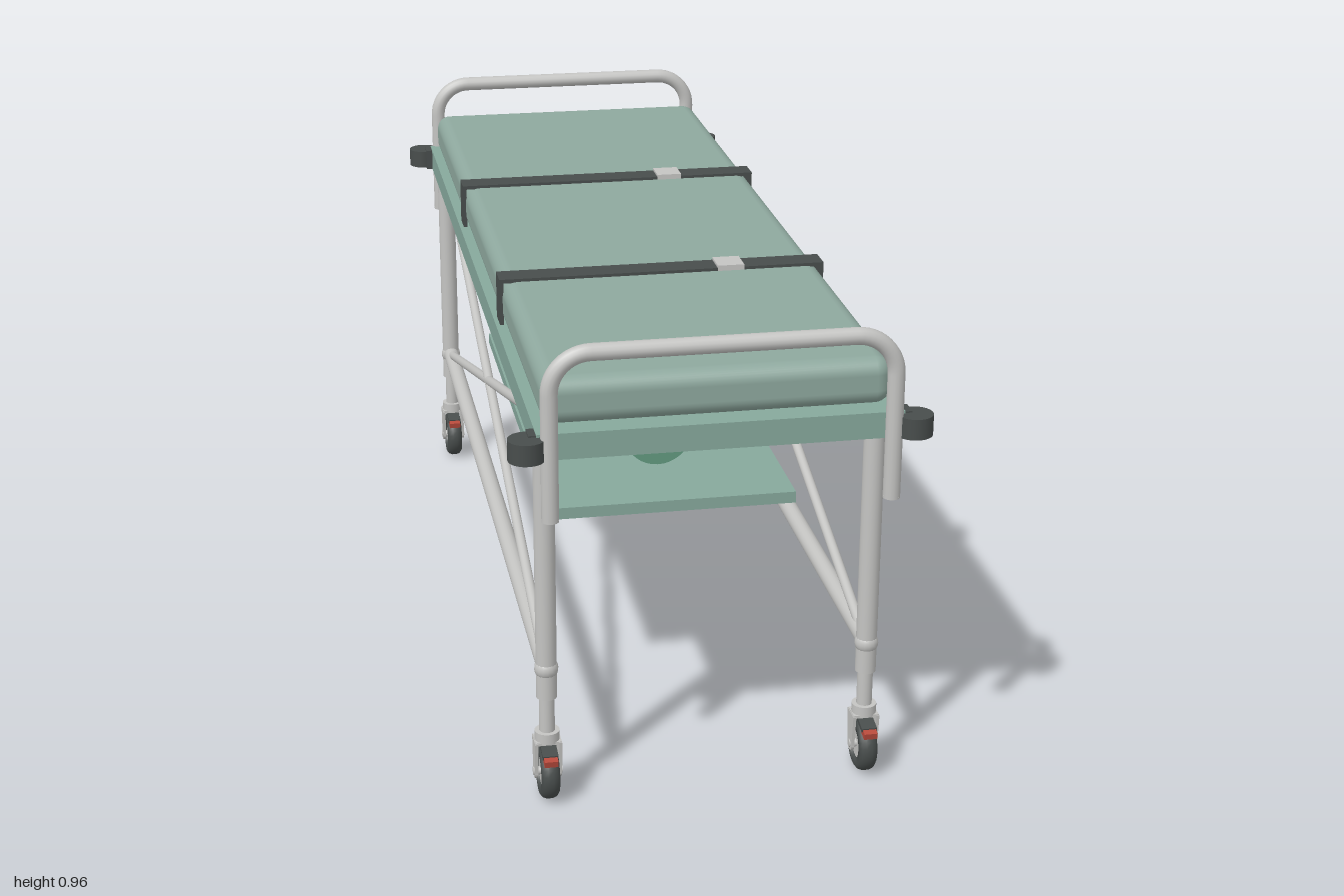
import * as THREE from 'three';
import { RoundedBoxGeometry } from 'three/addons/geometries/RoundedBoxGeometry.js';

const mat = (name, color) => {
  const m = new THREE.MeshStandardMaterial({ color });
  m.name = name;
  return m;
};
const V = (x, y, z) => new THREE.Vector3(x, y, z);

export function createModel() {
  const padding = mat('padded vinyl', 0x8ea89e);
  const panel = mat('painted panel', 0x86a89c);
  const metal = mat('brushed metal', 0xc4c4c2);
  const rubber = mat('dark rubber', 0x484d4c);
  const bottleGreen = mat('bottle green', 0x62997f);
  const red = mat('brake red', 0xb84a3c);

  const root = new THREE.Group();
  root.name = 'stretcherTrolley';

  const add = (name, geometry, material, x = 0, y = 0, z = 0, parent = root) => {
    const mesh = new THREE.Mesh(geometry, material);
    mesh.name = name;
    mesh.position.set(x, y, z);
    parent.add(mesh);
    return mesh;
  };
  const box = (name, w, h, d, material, x, y, z, parent) =>
    add(name, new THREE.BoxGeometry(w, h, d), material, x, y, z, parent);
  const cyl = (name, r, h, material, x, y, z, parent) =>
    add(name, new THREE.CylinderGeometry(r, r, h, 20), material, x, y, z, parent);
  // Straight round bar between two points
  const bar = (name, a, b, r, material) => {
    const mesh = cyl(name, r, a.distanceTo(b), material);
    mesh.position.copy(a).add(b).multiplyScalar(0.5);
    mesh.quaternion.setFromUnitVectors(V(0, 1, 0), b.clone().sub(a).normalize());
    return mesh;
  };

  // Deck, mattress and lower shelf
  box('deck', 0.672, 0.05, 1.93, panel, 0, 0.763, 0);
  add('mattress', new RoundedBoxGeometry(0.644, 0.09, 1.87, 4, 0.03), padding, 0, 0.832, 0);
  box('shelf', 0.5, 0.024, 1.04, panel, 0, 0.432, 0);

  // Straps wrapped over the mattress, each with a buckle
  for (const z of [0.358, -0.302]) {
    const strap = new THREE.Group();
    strap.name = 'strap';
    strap.position.z = z;
    root.add(strap);
    box('strapTop', 0.656, 0.008, 0.054, rubber, 0, 0.879, 0, strap);
    for (const s of [-1, 1]) box('strapSide', 0.008, 0.094, 0.054, rubber, s * 0.324, 0.836, 0, strap);
    box('buckle', 0.054, 0.012, 0.056, metal, 0.138, 0.882, 0, strap);
  }

  // Bent tube rail at each end
  const rx = 0.314, top = 0.941, bend = 0.075;
  for (const s of [-1, 1]) {
    const z = s * 0.973;
    const path = new THREE.CurvePath();
    path.add(new THREE.LineCurve3(V(-rx, 0.626, z), V(-rx, top - bend, z)));
    path.add(new THREE.CubicBezierCurve3(V(-rx, top - bend, z), V(-rx, top - bend * 0.45, z),
      V(-rx + bend * 0.45, top, z), V(-rx + bend, top, z)));
    path.add(new THREE.LineCurve3(V(-rx + bend, top, z), V(rx - bend, top, z)));
    path.add(new THREE.CubicBezierCurve3(V(rx - bend, top, z), V(rx - bend * 0.45, top, z),
      V(rx, top - bend * 0.45, z), V(rx, top - bend, z)));
    path.add(new THREE.LineCurve3(V(rx, top - bend, z), V(rx, 0.626, z)));
    add('endRail', new THREE.TubeGeometry(path, 120, 0.016, 14, false), metal);
    for (const x of [-rx, rx]) cyl('railCap', 0.016, 0.004, metal, x, 0.626, z);
  }

  // Corner bumpers, legs and casters
  const tyreProfile = [[0.03, -0.016], [0.045, -0.018], [0.052, -0.013], [0.055, -0.005],
    [0.055, 0.005], [0.052, 0.013], [0.045, 0.018], [0.03, 0.016], [0.03, -0.016]]
    .map(([r, y]) => new THREE.Vector2(r, y));
  const tyre = new THREE.LatheGeometry(tyreProfile, 28);
  const fork = new THREE.Shape();
  fork.moveTo(-0.013, 0.05);
  fork.absarc(0, 0.055, 0.014, Math.PI, Math.PI * 2, false);
  fork.lineTo(0.022, 0.122);
  fork.lineTo(-0.022, 0.122);
  const forkPlate = new THREE.ExtrudeGeometry(fork, { depth: 0.006, bevelEnabled: false });

  for (const sx of [-1, 1]) for (const sz of [-1, 1]) {
    cyl('bumper', 0.034, 0.04, rubber, sx * 0.354, 0.763, sz * 0.966);
    box('bumperBracket', 0.03, 0.046, 0.035, rubber, sx * 0.335, 0.763, sz * 0.945);

    const x = sx * 0.31, z = sz * 0.862;
    cyl('leg', 0.02, 0.53, metal, x, 0.478, z);
    cyl('lowerLeg', 0.015, 0.09, metal, x, 0.175, z);
    add('railJoint', new THREE.SphereGeometry(0.023, 16, 12), metal, x, 0.273, z);

    const caster = new THREE.Group();
    caster.name = 'caster';
    caster.position.set(x, 0, z);
    root.add(caster);
    cyl('casterCollar', 0.024, 0.022, metal, 0, 0.131, 0, caster);
    for (const s of [-1, 1]) {
      const plate = add('forkPlate', forkPlate, metal, s * 0.023 - 0.003, 0, 0, caster);
      plate.rotation.y = Math.PI / 2;
    }
    box('forkCrown', 0.05, 0.006, 0.04, metal, 0, 0.121, 0, caster);
    add('tyre', tyre, rubber, 0, 0.055, 0, caster).rotation.z = Math.PI / 2;
    cyl('hub', 0.031, 0.026, metal, 0, 0.055, 0, caster).rotation.z = Math.PI / 2;
    cyl('axle', 0.008, 0.056, metal, 0, 0.055, 0, caster).rotation.z = Math.PI / 2;
    // Brake pedal always faces the front
    box('pedalArm', 0.03, 0.008, 0.04, rubber, 0, 0.109, 0.026, caster).rotation.x = 0.2;
    box('brakePedal', 0.026, 0.013, 0.026, red, 0, 0.1, 0.045, caster).rotation.x = 0.2;
  }

  // Lower side rails and crossed braces
  for (const x of [-0.31, 0.31]) {
    bar('sideRail', V(x, 0.275, -0.862), V(x, 0.275, 0.862), 0.018, metal);
    for (const s of [-1, 1])
      bar('crossBrace', V(x, 0.727, s * 0.685), V(x, 0.28, s * -0.83), 0.01, metal);
  }

  // Gas bottle lying on the shelf, neck to the back
  const bottle = new THREE.Group();
  bottle.name = 'gasBottle';
  bottle.position.set(0, 0.517, 0);
  bottle.rotation.x = -Math.PI / 2;
  root.add(bottle);
  const shoulder = new THREE.SplineCurve([[0.07, 0.25], [0.062, 0.285], [0.043, 0.315], [0.02, 0.336]]
    .map(([r, y]) => new THREE.Vector2(r, y))).getPoints(10);
  add('bottleBody', new THREE.LatheGeometry([new THREE.Vector2(0.07, -0.34), ...shoulder], 36),
    bottleGreen, 0, 0, 0, bottle);
  const base = add('bottleBase', new THREE.CircleGeometry(0.07, 36), bottleGreen, 0, -0.34, 0, bottle);
  base.rotation.x = Math.PI / 2;
  cyl('bottleNeck', 0.02, 0.07, bottleGreen, 0, 0.367, 0, bottle);
  cyl('bottleValve', 0.024, 0.04, metal, 0, 0.438, 0, bottle);

  return root;
}
